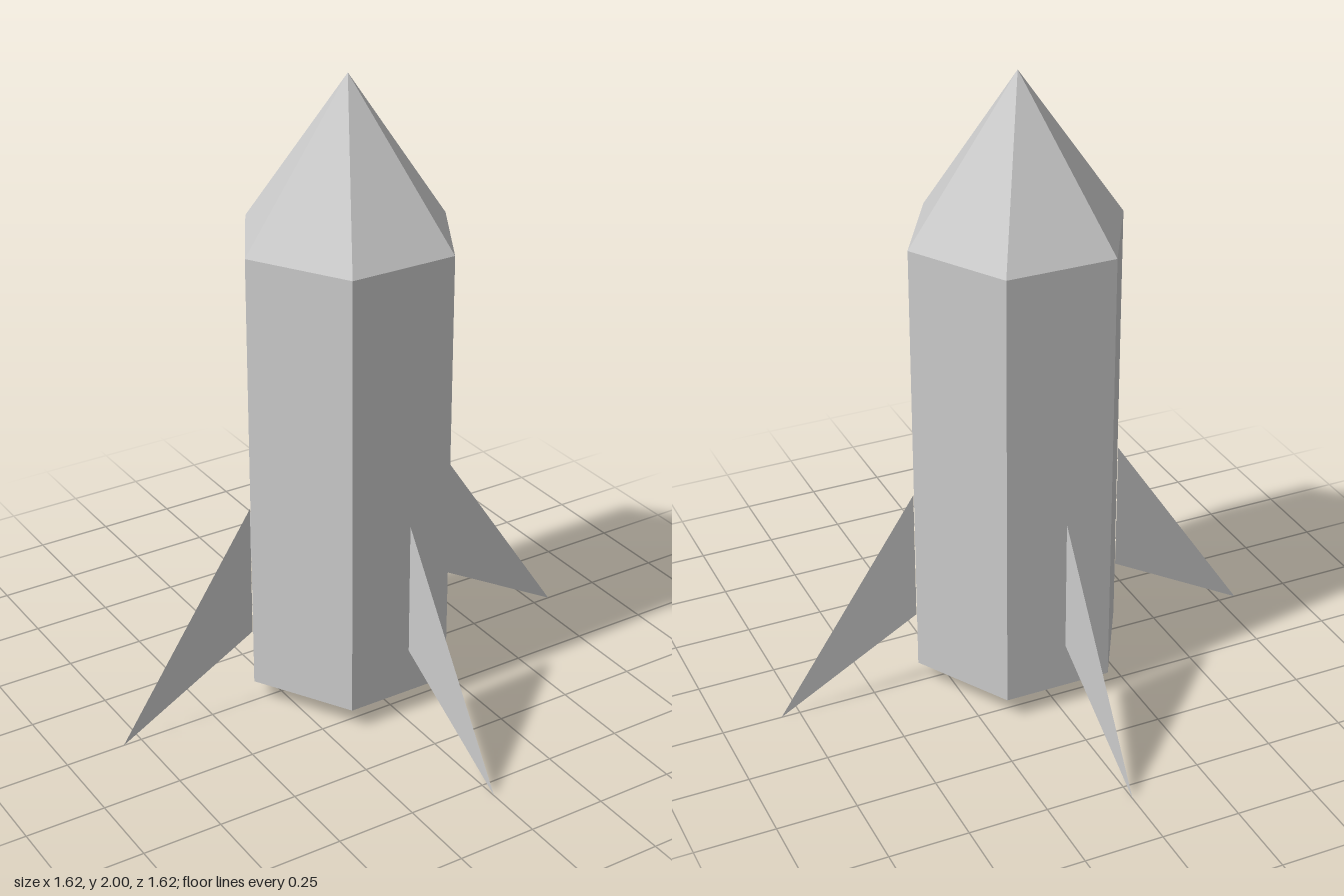
import * as THREE from 'three';

export function createModel() {
  const group = new THREE.Group();
  const material = new THREE.MeshStandardMaterial({ color: 0xcccccc, flatShading: true });
  const finMaterial = new THREE.MeshStandardMaterial({ color: 0xcccccc, flatShading: true, side: THREE.DoubleSide });
  const radius = 0.348, bottom = 0.07, shoulder = 1.505, tip = 2;

  const add = (name, geometry, mat) => {
    const mesh = new THREE.Mesh(geometry, mat);
    mesh.name = name;
    group.add(mesh);
    return mesh;
  };

  // Six-sided hull with corners on the x axis
  const hullHeight = shoulder - bottom;
  add('hull', new THREE.CylinderGeometry(radius, radius, hullHeight, 6, 1, false, Math.PI / 2), material)
    .position.y = bottom + hullHeight / 2;

  // Pointed nose
  const noseHeight = tip - shoulder;
  add('noseCone', new THREE.ConeGeometry(radius, noseHeight, 6, 1, true, Math.PI / 2), material)
    .position.y = shoulder + noseHeight / 2;

  // Four thin swept fins, a quarter turn apart
  const finShape = new THREE.Shape([
    new THREE.Vector2(0.35, 0.69),
    new THREE.Vector2(0.35, 0.255),
    new THREE.Vector2(0.81, 0),
  ]);
  const finGeometry = new THREE.ShapeGeometry(finShape);
  ['leftFin', 'backFin', 'rightFin', 'frontFin'].forEach((name, i) => {
    add(name, finGeometry, finMaterial).rotation.y = i * Math.PI / 2;
  });

  return group;
}
